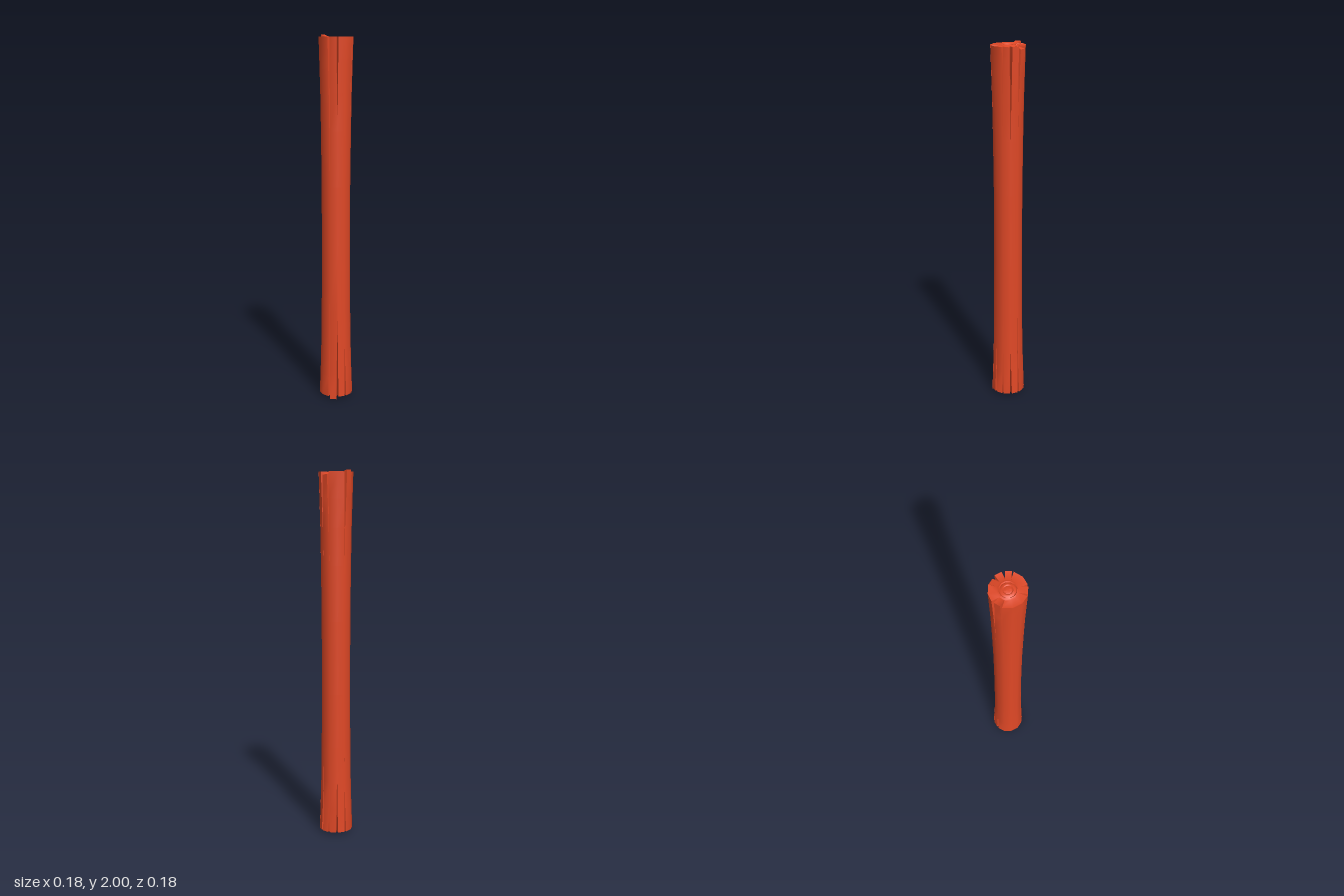
import * as THREE from 'three';
import { toCreasedNormals } from 'three/addons/utils/BufferGeometryUtils.js';

const SIDES = 12, STEP = Math.PI * 2 / SIDES;
const BOTTOM = 0.015, TOP = 1.99;

// Cracks by corner: [corner, length, opening before, opening after] (openings in radians)
const topCracks = [
  [0, 0.45, 0.09, 0], [2, 0.5, 0.05, 0.08], [3, 0.74, 0.05, 0.07], [6, 0.4, 0, 0.09],
  [7, 0.35, 0.09, 0.1], [9, 0.4, 0, 0.09], [10, 0.35, 0.09, 0.06], [11, 0.5, 0.08, 0.1],
];
const bottomCracks = [
  [0, 0.35, 0.08, 0.03], [1, 0.3, 0.06, 0.06], [2, 0.5, 0.06, 0.08], [3, 0.75, 0.05, 0.06],
  [7, 0.3, 0.07, 0.05], [8, 0.35, 0.05, 0.08], [9, 0.3, 0.05, 0.06], [10, 0.4, 0.07, 0.06], [11, 0.3, 0.08, 0.05],
];
// Staves that stand proud of, or fall short of, the cut ends
const topShift = { 6: 0.01, 9: -0.015 };
const bottomShift = { 2: -0.015 };

// Trunk outline [height, radius] and growth rings of the cut ends [radius, offset]
const trunk = [
  [BOTTOM, 0.092], [0.15, 0.087], [0.3, 0.083], [0.5, 0.08], [0.8, 0.078],
  [1.2, 0.078], [1.5, 0.081], [1.7, 0.084], [1.85, 0.088], [TOP, 0.092],
];
const rings = [
  [0.052, -0.004], [0.043, 0], [0.039, -0.005], [0.034, -0.001],
  [0.025, 0], [0.021, -0.004], [0.012, -0.001], [0, -0.001],
];

const polar = (r, a, y) => new THREE.Vector3(r * Math.cos(a), y, r * Math.sin(a));

// One cross-section of the trunk: edge, valley, edge at every corner
function trunkLevel([y, radius]) {
  const upper = y > 1;
  const cracks = upper ? topCracks : bottomCracks;
  const shift = y === TOP ? topShift : y === BOTTOM ? bottomShift : {};
  const distance = upper ? TOP - y : y - BOTTOM;
  const points = [];
  for (let i = 0; i < SIDES; i++) {
    const [, length, before, after] = cracks.find((c) => c[0] === i) || [i, 1, 0, 0];
    const open = before + after > 0 ? Math.max(0, 1 - distance / length) : 0;
    const a = i * STEP;
    points.push(
      polar(radius, a - before * open, y + (shift[(i + SIDES - 1) % SIDES] || 0)),
      polar(radius - 0.032 * open, a, y),
      polar(radius, a + after * open, y + (shift[i] || 0)),
    );
  }
  return points;
}

// One plain ring on a cut end, with the same number of points
function ringLevel(radius, y) {
  return Array.from({ length: SIDES * 3 }, (_, j) => polar(radius, Math.floor(j / 3) * STEP, y));
}

// Skin the cross-sections, leaving out collapsed triangles
function loft(levels) {
  const positions = [];
  const triangle = new THREE.Triangle();
  const add = (a, b, c) => {
    triangle.set(a, b, c);
    if (triangle.getArea() < 1e-9) return;
    for (const p of [a, b, c]) positions.push(p.x, p.y, p.z);
  };
  for (let k = 0; k < levels.length - 1; k++) {
    const low = levels[k], high = levels[k + 1];
    for (let j = 0; j < low.length; j++) {
      const n = (j + 1) % low.length;
      add(low[j], high[j], low[n]);
      add(low[n], high[j], high[n]);
    }
  }
  const geometry = new THREE.BufferGeometry();
  geometry.setAttribute('position', new THREE.Float32BufferAttribute(positions, 3));
  return toCreasedNormals(geometry, 0.7);
}

export function createModel() {
  const wood = new THREE.MeshStandardMaterial({ color: 0xe04826 });
  wood.name = 'red wood';

  const levels = [
    ...[...rings].reverse().map(([r, d]) => ringLevel(r, BOTTOM - d)),
    ...trunk.map(trunkLevel),
    ...rings.map(([r, d]) => ringLevel(r, TOP + d)),
  ];
  const log = new THREE.Mesh(loft(levels), wood);
  log.name = 'crackedLog';

  const group = new THREE.Group();
  group.name = 'woodenPost';
  group.add(log);
  return group;
}
